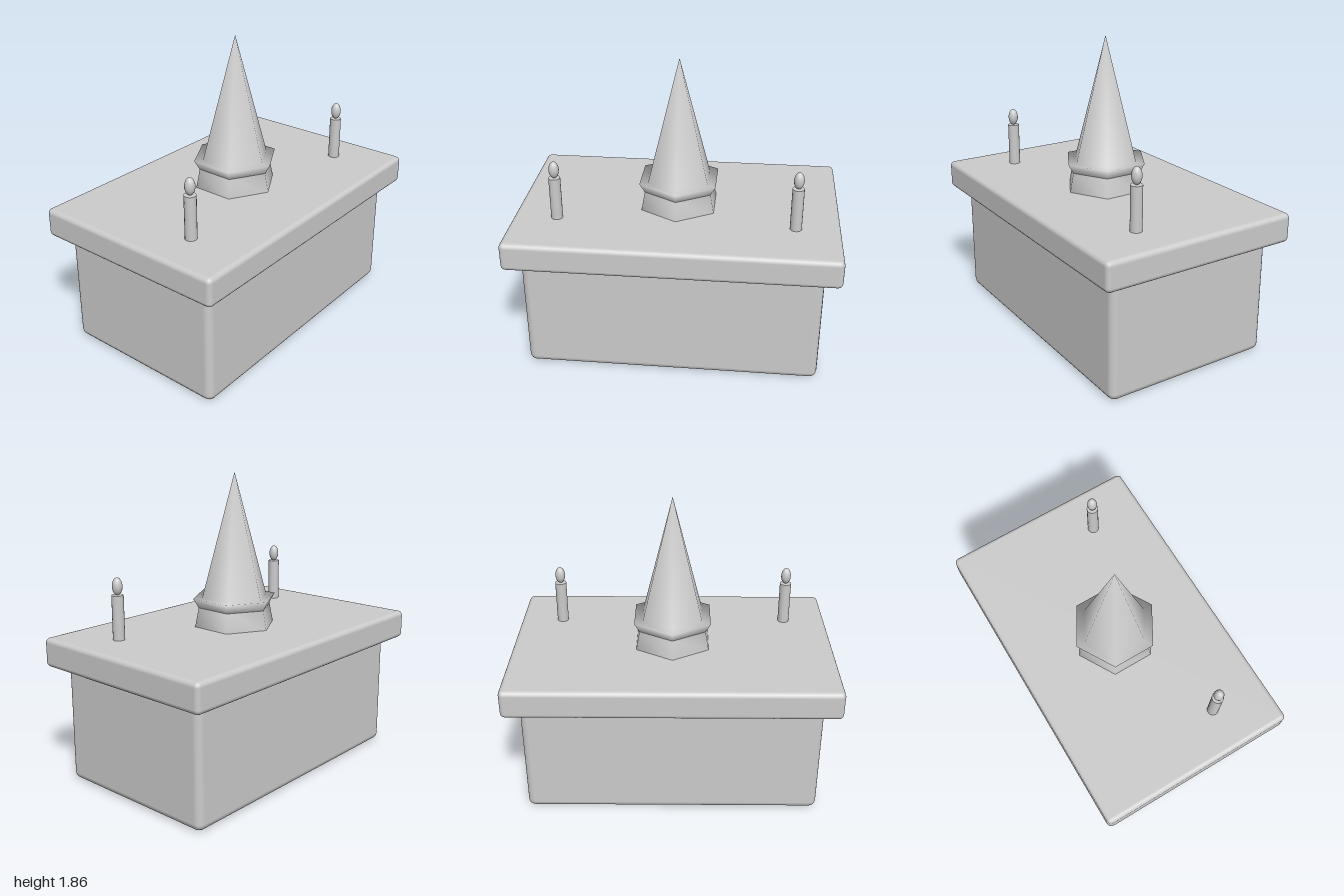
import * as THREE from 'three';
import { mergeVertices } from 'three/addons/utils/BufferGeometryUtils.js';
import { RoundedBoxGeometry } from 'three/addons/geometries/RoundedBoxGeometry.js';

const material = new THREE.MeshStandardMaterial({ color: 0xcccccc, side: THREE.DoubleSide });

function add(parent, name, geometry, x = 0, y = 0, z = 0) {
  const mesh = new THREE.Mesh(geometry, material);
  mesh.name = name;
  mesh.position.set(x, y, z);
  parent.add(mesh);
  return mesh;
}

// Six-sided turned shape with corners on the z axis and shared, smooth normals
function hexLathe(profile) {
  const geometry = new THREE.LatheGeometry(profile.map(([r, y]) => new THREE.Vector2(r, y)), 6);
  geometry.deleteAttribute('uv');
  geometry.deleteAttribute('normal');
  const merged = mergeVertices(geometry, 1e-4);
  merged.computeVertexNormals();
  return merged;
}

export function createModel() {
  const model = new THREE.Group();
  model.name = 'altar';

  // Block and overhanging slab, both with softened edges
  add(model, 'base', new RoundedBoxGeometry(1.81, 0.73, 1.09, 2, 0.045), 0, 0.365, 0);
  add(model, 'tableTop', new RoundedBoxGeometry(2, 0.18, 1.27, 2, 0.03), 0, 0.82, 0);

  // Spire: tapered collar, flared rim and tall point
  const spire = new THREE.Group();
  spire.name = 'spire';
  add(spire, 'spireCollar', hexLathe([[0.26, 0.905], [0.235, 1.03]]));
  add(spire, 'spireRimAndPoint', hexLathe([[0.235, 1.03], [0.27, 1.09], [0.212, 1.09], [0, 1.86]]));
  model.add(spire);

  // A candle near each front corner
  for (const [side, name] of [[1, 'leftCandle'], [-1, 'rightCandle']]) {
    const candle = new THREE.Group();
    candle.name = name;
    candle.position.set(side * 0.727, 0.905, 0.27);
    add(candle, 'candleStick', new THREE.CylinderGeometry(0.036, 0.036, 0.275, 16), 0, 0.1375, 0);
    const flame = add(candle, 'flame', new THREE.SphereGeometry(0.031, 16, 12), 0, 0.327, 0);
    flame.scale.y = 1.7;
    model.add(candle);
  }
  return model;
}
